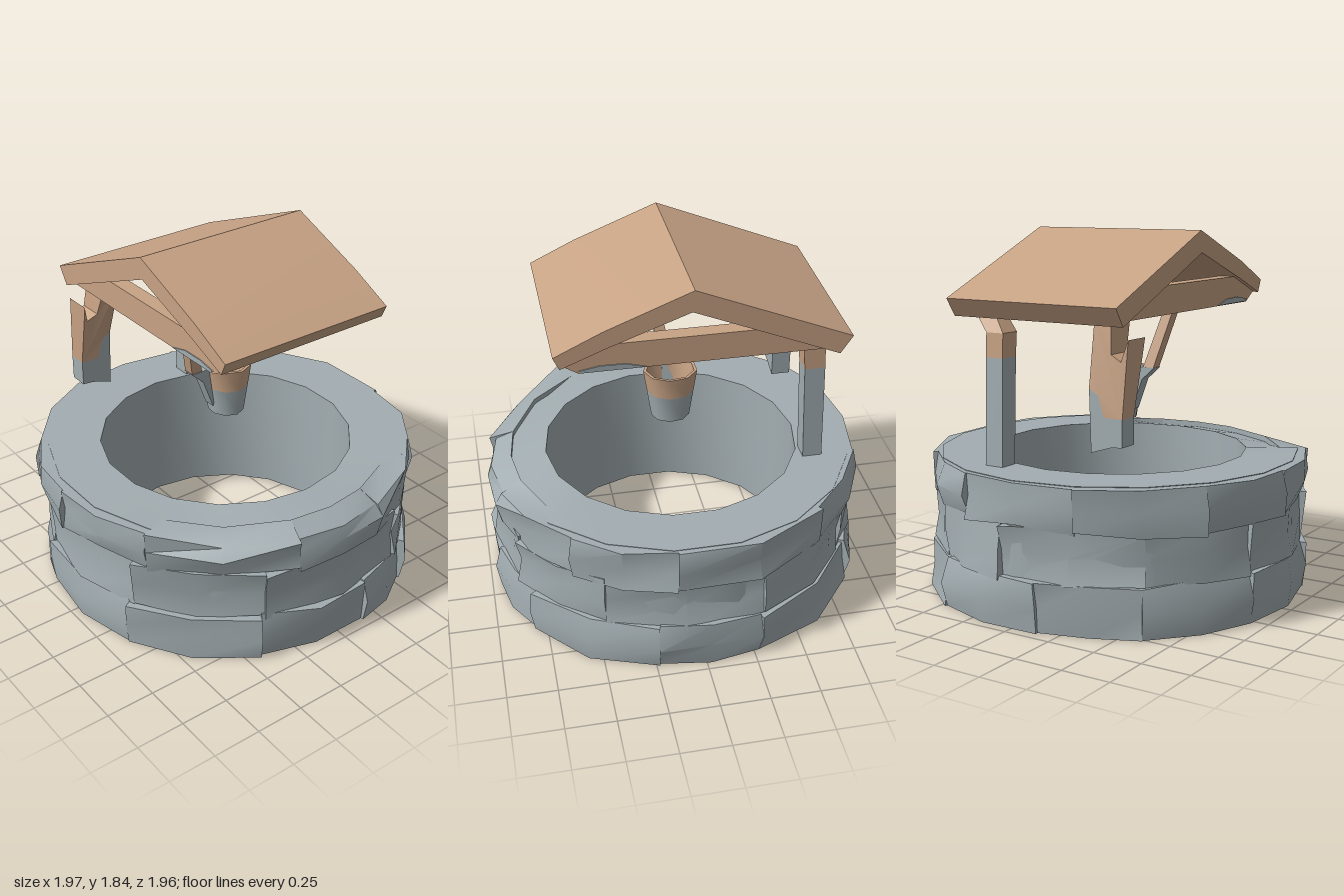
import * as THREE from 'three';
import { toCreasedNormals } from 'three/addons/utils/BufferGeometryUtils.js';

const stone = new THREE.MeshStandardMaterial({ color: 0xa3aeb2 });
stone.name = 'stone grey';
const wood = new THREE.MeshStandardMaterial({ color: 0xc8a385 });
wood.name = 'wood brown';

// Repeatable noise in -1..1
function noise(a, b, c) {
  const s = Math.sin(a * 12.99 + b * 78.23 + c * 37.72) * 43758.545;
  return (s - Math.floor(s)) * 2 - 1;
}

// Moves every vertex by a rule
function deform(geo, rule) {
  const p = geo.attributes.position;
  const v = new THREE.Vector3();
  for (let i = 0; i < p.count; i++) {
    v.fromBufferAttribute(p, i);
    rule(v);
    p.setXYZ(i, v.x, v.y, v.z);
  }
  return geo;
}

function shapeOf(points) {
  return new THREE.Shape(points.map(([x, y]) => new THREE.Vector2(x, y)));
}

// Outline in x,y pushed from z0 to z1
function slabZ(points, z0, z1) {
  const g = new THREE.ExtrudeGeometry(shapeOf(points), { depth: z1 - z0, bevelEnabled: false });
  return g.translate(0, 0, z0);
}

// Outline in z,y pushed from x0 to x1
function slabX(points, x0, x1) {
  const g = new THREE.ExtrudeGeometry(shapeOf(points), { depth: x1 - x0, bevelEnabled: false });
  return g.rotateY(-Math.PI / 2).translate(x1, 0, 0);
}

// Tapered stick between two rectangles [x0, x1, z0, z1, y]
function stick(lo, hi) {
  return deform(new THREE.BoxGeometry(1, 1, 1), (v) => {
    const e = v.y < 0 ? lo : hi;
    v.set(v.x < 0 ? e[0] : e[1], e[4], v.z < 0 ? e[2] : e[3]);
  });
}

function lathe(points, sides) {
  return new THREE.LatheGeometry(points.map(([r, y]) => new THREE.Vector2(r, y)), sides);
}

// Worn, drooping outer edge on the front of the rim
function sag(v) {
  const r = Math.hypot(v.x, v.z);
  if (v.y > 0.65 && r > 0.9 && v.z > 0.55 && v.x > -0.65 && v.x < 0.35) v.y -= 0.05;
}

export function createModel() {
  const model = new THREE.Group();
  const add = (name, geo, mat, crease = 0.3, parent = model) => {
    const mesh = new THREE.Mesh(toCreasedNormals(geo, crease), mat);
    mesh.name = name;
    parent.add(mesh);
    return mesh;
  };

  // Well wall: open ring with rim, bottom and inner face
  const ring = lathe([[0.66, 0.72], [0.66, 0.012], [0.93, 0.012], [0.93, 0.72], [0.66, 0.72]], 18);
  add('wellWall', deform(ring, sag), stone, 0.6);

  // Three courses of uneven stones wrapped around the wall
  const courses = [
    { y0: 0.008, y1: 0.255, r: 0.968, n: 10, turn: 0.05 },
    { y0: 0.25, y1: 0.51, r: 0.952, n: 9, turn: 0.35 },
    { y0: 0.5, y1: 0.717, r: 0.966, n: 10, turn: 0.28 },
  ];
  courses.forEach((c, k) => {
    const course = new THREE.Group();
    course.name = 'stoneCourse' + (k + 1);
    model.add(course);
    const step = (Math.PI * 2) / c.n;
    const start = (i) => c.turn + step * (i + 0.2 * noise(i % c.n, k, 1));
    for (let i = 0; i < c.n; i++) {
      const a0 = start(i);
      const a1 = i === c.n - 1 ? start(0) + Math.PI * 2 : start(i + 1);
      const block = deform(new THREE.BoxGeometry(1, 1, 1, 2, 2, 1), (v) => {
        const u = v.x, h = v.y, w = v.z;
        const a = a0 + (a1 - a0) * (u + 0.5);
        let y = c.y0 + (c.y1 - c.y0) * (h + 0.5);
        let r = 0.84;
        if (w > 0) {
          r = c.r + 0.022 * noise(i * 3 + u * 2, h * 2 + k * 5, 2) + 0.012 * noise(i, k, 7);
          if (h === 0) r += k === 1 ? -0.008 : 0.008;
          // Ragged joints between courses
          if ((h < 0 && k > 0) || (h > 0 && k < 2)) y += 0.018 * noise(i * 3 + u * 2, h + k, 4);
        }
        v.set(r * Math.sin(a), y, r * Math.cos(a));
        sag(v);
      });
      add('wallStone', block, stone, 0.6, course);
    }
  });

  // Gabled roof as one bent slab
  const roof = [[0.64, 1.57], [0.61, 1.505], [0.4, 1.59], [-0.01, 1.74],
    [-0.73, 1.44], [-0.79, 1.53], [-0.02, 1.85], [0.41, 1.68]];
  add('roof', slabX(roof, -0.485, 0.485), wood);

  // Cross beams under both gables, each with a worn grey patch
  const beam = [[0.52, 1.46], [0.6, 1.51], [0.38, 1.6], [-0.35, 1.6], [-0.7, 1.46]];
  const patch = [[0.5, 1.463], [0.52, 1.475], [0.42, 1.492], [0.3, 1.49], [0.2, 1.463]];
  for (const s of [-1, 1]) {
    add('crossBeam', slabX(beam, s * 0.42 - 0.04, s * 0.42 + 0.04), wood);
    add('beamPatch', slabX(patch, s * 0.462 - 0.003, s * 0.462 + 0.003), stone);
  }

  // Standing post on the rim, grey below and brown above
  add('standingPostLower', stick([0.2, 0.3, -0.74, -0.64, 0.71], [0.2, 0.3, -0.725, -0.62, 1.25]), stone);
  add('standingPostUpper', stick([0.2, 0.3, -0.725, -0.62, 1.25], [0.2, 0.3, -0.72, -0.61, 1.37]), wood);
  add('standingPostHead', stick([0.2, 0.3, -0.72, -0.61, 1.37], [0.29, 0.41, -0.67, -0.59, 1.47]), wood);

  // Broken post hanging from the roof
  const lean = (v) => {
    if (v.y > 1.15) v.z += (v.y - 1.15) * (v.z > -0.68 ? 0.35 : 0.15);
  };
  const lower = [[-0.48, 0.89], [-0.42, 0.885], [-0.31, 0.85], [-0.3, 1.15],
    [-0.35, 1.12], [-0.38, 1.02], [-0.48, 1.02]];
  const upper = [[-0.48, 1.02], [-0.38, 1.02], [-0.35, 1.12], [-0.3, 1.15], [-0.3, 1.47],
    [-0.39, 1.47], [-0.405, 1.2], [-0.405, 1.31], [-0.46, 1.28], [-0.49, 1.38]];
  upper.splice(6, 1);
  add('brokenPostLower', slabZ(lower, -0.73, -0.63), stone);
  add('brokenPostUpper', deform(slabZ(upper, -0.73, -0.63), lean), wood);

  // Bucket: grey base, brown band and hollow inside
  const bucket = new THREE.Group();
  bucket.name = 'bucket';
  model.add(bucket);
  const base = lathe([[0, 0.88], [0.1, 0.88], [0.122, 1.03]], 9).scale(0.9, 1, 1);
  const band = lathe([[0.122, 1.03], [0.14, 1.15], [0.124, 1.15], [0.09, 0.92], [0, 0.92]], 9).scale(0.9, 1, 1);
  add('bucketBase', base, stone, 0.8, bucket);
  add('bucketBand', band, wood, 0.8, bucket);

  // Bracket on the bucket side and the snapped handle above it
  const bracket = [[-0.23, 1.155], [-0.16, 1.09], [-0.1, 0.93], [-0.08, 1.0], [-0.11, 1.155]];
  add('bucketBracket', slabZ(bracket, -0.04, 0.025), stone, 0.3, bucket);
  add('bucketHandle', stick([-0.225, -0.165, -0.04, 0.02, 1.15], [-0.3, -0.245, 0.025, 0.085, 1.44]), wood, 0.3, bucket);

  return model;
}
